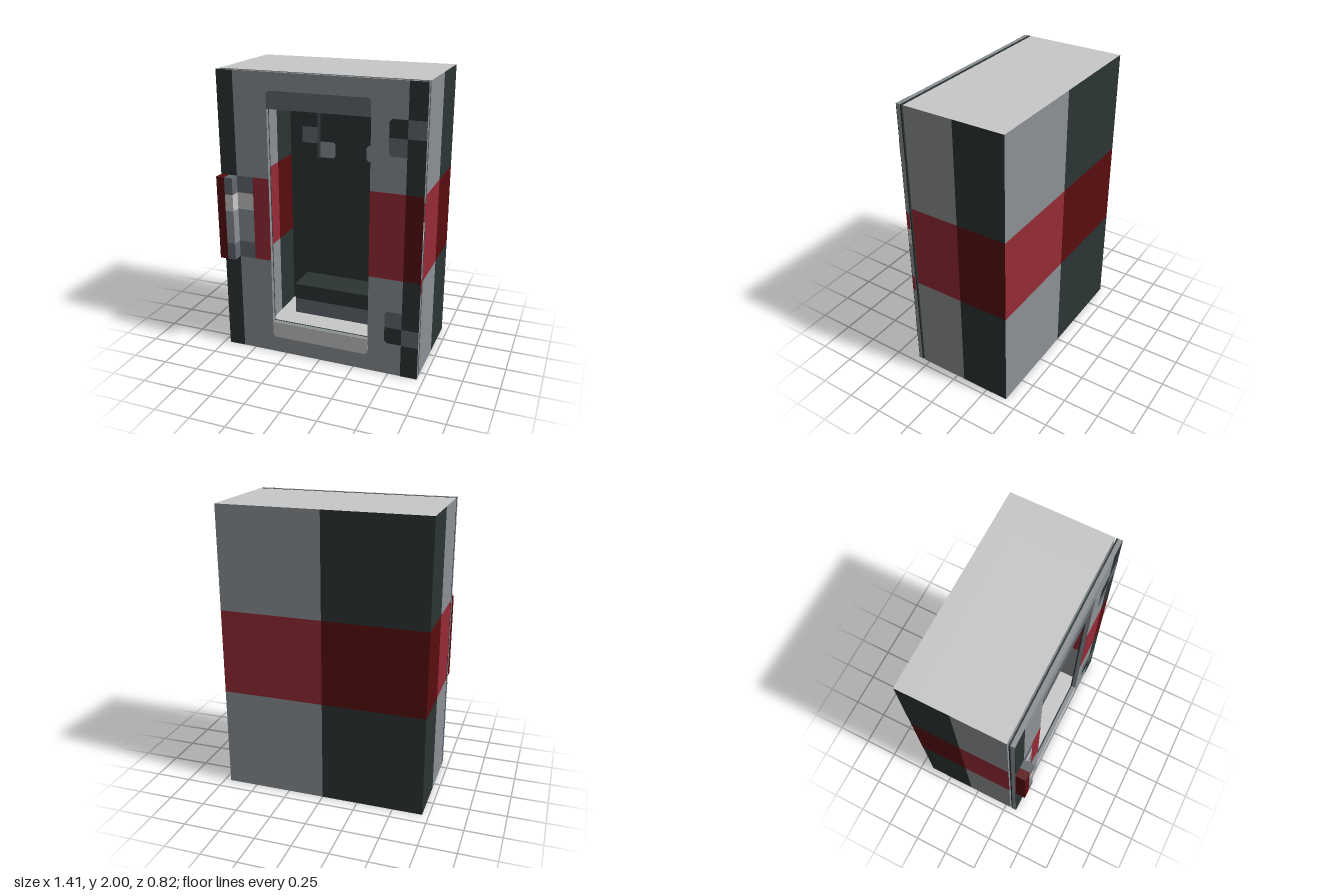
import * as THREE from 'three';

const P = 2 / 17; // modular unit: body is 12 x 17 x 6 units
const X = 6 * P, FRONT = 0.29, BACK = -0.41, MID = -0.06, INNER = BACK + P;
const STRIPE0 = 6 * P, STRIPE1 = 11 * P;

function material(name, color) {
  const m = new THREE.MeshStandardMaterial({ color });
  m.name = name;
  return m;
}

export function createModel() {
  const gray = material('gray', 0x8c9195);
  const dark = material('dark', 0x2c3434);
  const red = material('red', 0x962b36);
  const darkRed = material('darkRed', 0x590d0f);
  const pale = material('pale', 0xc8c8c8);
  const slate = material('slate', 0x62686f);

  const model = new THREE.Group();
  const body = new THREE.Group(), door = new THREE.Group(), handle = new THREE.Group();
  body.name = 'cabinetBody';
  door.name = 'doorFrame';
  handle.name = 'doorHandle';
  model.add(body, door);
  door.add(handle);

  // Box from its limits; faces overrides single sides (px nx py ny pz nz)
  function box(parent, name, [x0, x1], [y0, y1], [z0, z1], mat, faces = {}) {
    const g = new THREE.BoxGeometry(x1 - x0, y1 - y0, z1 - z0);
    const mats = ['px', 'nx', 'py', 'ny', 'pz', 'nz'].map(k => faces[k] || mat);
    const m = new THREE.Mesh(g, Object.keys(faces).length ? mats : mat);
    m.position.set((x0 + x1) / 2, (y0 + y1) / 2, (z0 + z1) / 2);
    m.name = name;
    parent.add(m);
    return m;
  }

  // Side and back walls in three bands, the middle one striped
  const bands = [[0, STRIPE0], [STRIPE0, STRIPE1], [STRIPE1, 2]];
  bands.forEach((y, i) => {
    const light = i === 1 ? red : gray, deep = i === 1 ? darkRed : dark;
    const ends = { py: pale, ny: pale };
    for (const s of [-1, 1]) {
      const x = s < 0 ? [-X, -4 * P] : [4 * P, X];
      box(body, 'sideWallFront', x, y, [MID, FRONT], light, { ...ends, pz: gray });
      box(body, 'sideWallRear', x, y, [INNER, MID], deep, ends);
    }
    box(body, 'backWallRight', [-X, 0], y, [BACK, INNER], deep, { ...ends, pz: dark });
    box(body, 'backWallLeft', [0, X], y, [BACK, INNER], deep, { ...ends, pz: dark, nz: light });
  });
  box(body, 'floor', [-4 * P, 4 * P], [0, P], [INNER, FRONT], pale, { pz: gray });
  box(body, 'ceiling', [-4 * P, 4 * P], [16 * P, 2], [INNER, FRONT], pale, { pz: gray });

  // Interior step
  box(body, 'stepUpper', [-3 * P, 3 * P], [2 * P, 3 * P], [INNER, MID], dark);
  box(body, 'stepLower', [-3 * P, 3 * P], [P, 2 * P], [INNER, MID], slate);

  // Interior brackets with a small pad on the back wall
  for (const s of [-1, 1]) {
    const x = s < 0 ? [-3 * P, -2 * P] : [2 * P, 3 * P];
    const z = [INNER, INNER + P / 2];
    box(body, 'bracketTop', x, [13 * P, 14 * P], z, dark);
    box(body, 'bracketMiddle', x, [12 * P, 13 * P], z, dark, { pz: slate });
    box(body, 'bracketBottom', x, [11 * P, 12 * P], z, dark);
    plate(body, 'bracketPad', s < 0 ? [-2 * P, -P] : [P, 2 * P], [11 * P, 12 * P], INNER, gray,
      s < 0 ? [0, 1, 1, 0] : [1, 0, 0, 1]);
  }

  // Thin plate facing +z; cut flags chamfer corners bl, br, tr, tl
  function plate(parent, name, [x0, x1], [y0, y1], z, mat, cut = [0, 0, 0, 0]) {
    const c = 0.018;
    const pts = [];
    [[x0, y0, 1, 1], [x1, y0, -1, 1], [x1, y1, -1, -1], [x0, y1, 1, -1]].forEach(([x, y, dx, dy], i) => {
      if (!cut[i]) return pts.push(new THREE.Vector2(x, y));
      const a = new THREE.Vector2(x, y + dy * c), b = new THREE.Vector2(x + dx * c, y);
      pts.push(...(i % 2 ? [b, a] : [a, b]));
    });
    const g = new THREE.ExtrudeGeometry(new THREE.Shape(pts), { depth: 0.002, bevelEnabled: false });
    const m = new THREE.Mesh(g, mat);
    m.position.z = z;
    m.name = name;
    parent.add(m);
  }

  // Door frame with a rectangular opening, backed by a dark sheet
  const rect = (C, x, y0, y1) => new C([[-x, y0], [x, y0], [x, y1], [-x, y1]].map(p => new THREE.Vector2(...p)));
  const outline = rect(THREE.Shape, X, 0, 2);
  outline.holes.push(rect(THREE.Path, 3 * P, 2 * P, 15 * P));
  for (const [name, z, depth, mat] of [['doorSheet', 0.3, 0.01, dark], ['doorPanel', 0.31, 0.028, gray]]) {
    const m = new THREE.Mesh(new THREE.ExtrudeGeometry(outline, { depth, bevelEnabled: false }), mat);
    m.position.z = z;
    m.name = name;
    door.add(m);
  }

  // Painted door front
  const F = 0.338;
  for (const x of [[-X, -5 * P], [5 * P, X]])
    bands.forEach((y, i) => plate(door, 'doorEdgeBand', x, y, F, i === 1 ? darkRed : dark));
  plate(door, 'doorStripe', [-4 * P, -3 * P], [STRIPE0, STRIPE1], F, red);
  plate(door, 'doorStripe', [3 * P, 5 * P], [STRIPE0, STRIPE1], F, red);
  plate(door, 'upperTrim', [-3 * P, 3 * P], [15 * P, 16 * P], F, slate, [0, 0, 1, 1]);
  plate(door, 'lowerTrim', [-3 * P, 3 * P], [P, 2 * P], F, pale, [1, 1, 0, 0]);

  // Hinges: a corner patch, an outer arm and an inner arm, mirrored in height
  for (const up of [true, false]) {
    const y = up ? [14 * P, 15 * P] : [2 * P, 3 * P];
    const arm = up ? [13 * P, 14 * P] : [3 * P, 4 * P];
    plate(door, 'hingeCorner', [4 * P, 5 * P], y, F, dark, up ? [0, 0, 0, 1] : [1, 0, 0, 0]);
    plate(door, 'hingeOuterArm', [5 * P, X], y, F + 0.002, slate);
    plate(door, 'hingeInnerArm', [4 * P, 5 * P], arm, F, slate, up ? [1, 0, 0, 0] : [0, 0, 0, 1]);
  }

  // Handle bar with its coloured segments continued flat on the door
  const segments = [[6, 7, slate], [7, 9, gray], [9, 10, pale], [10, 11, slate]];
  box(handle, 'handleOuter', [-X, -5.5 * P], [STRIPE0, STRIPE1], [0.34, 0.41], darkRed);
  for (const [a, b, mat] of segments) {
    box(handle, 'handleSegment', [-5.5 * P, -5 * P], [a * P, b * P], [0.34, 0.41], mat);
    plate(handle, 'handleMark', [-5 * P, -4 * P], [a * P, b * P], F, mat);
  }

  // Small marks on the hinge-side edge of the door
  for (const [y0, y1, mat] of [[0.63, 0.74, red], [1.01, 1.13, pale], [1.13, 1.25, red]])
    box(door, 'edgeMark', [X - 0.002, X + 0.001], [y0, y1], [0.314, 0.338], mat);

  return model;
}
